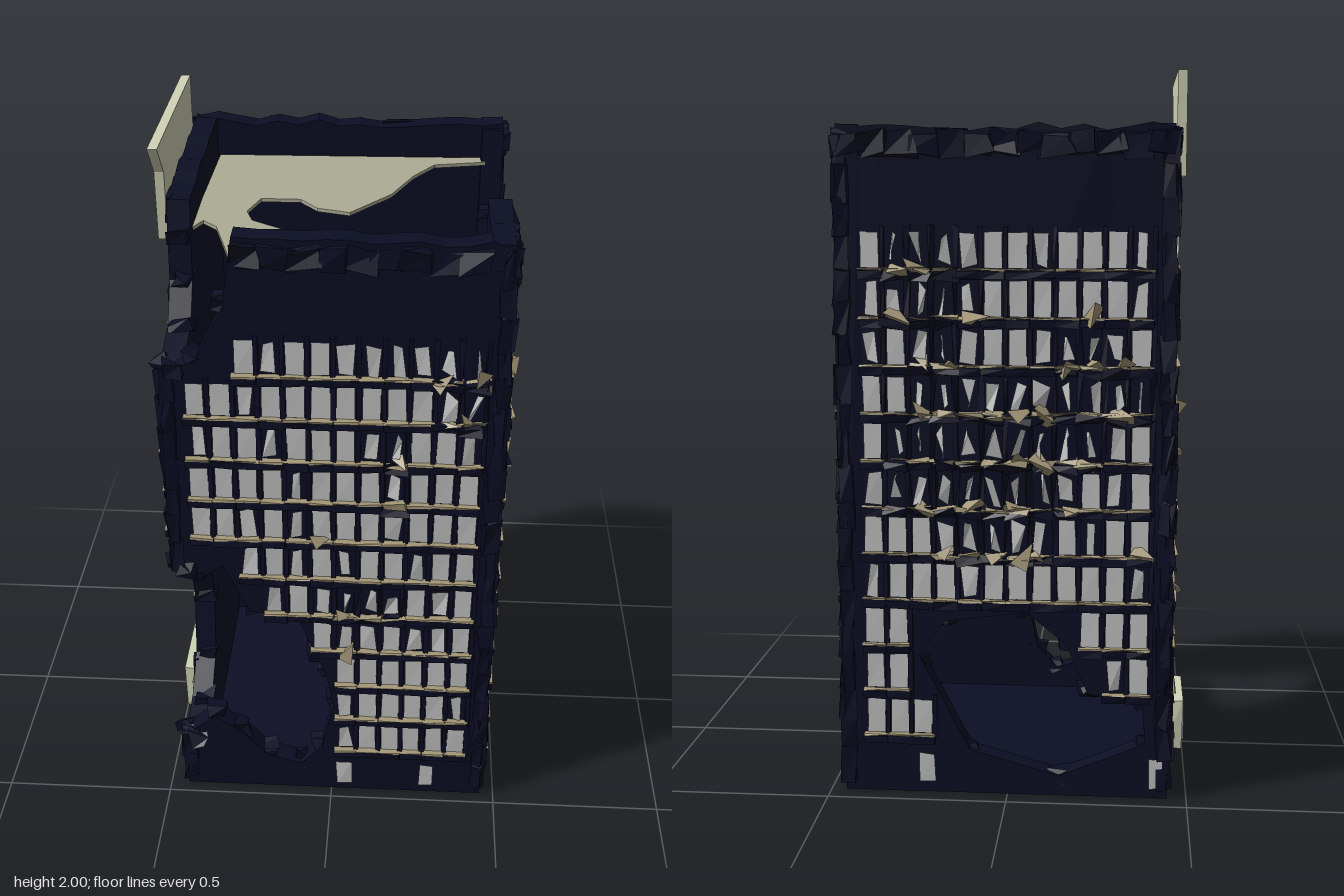
import * as THREE from 'three';
import { mergeGeometries } from 'three/addons/utils/BufferGeometryUtils.js';

const HALF = 0.452, BASE = 0.01, TOP = 1.85;
const CX = 0.006, CZ = 0.01;

let seed = 7;
const rnd = () => (seed = (seed * 16807) % 2147483647) / 2147483647;
const jit = a => (rnd() - 0.5) * 2 * a;

const mat = color => new THREE.MeshStandardMaterial({ color, flatShading: true, side: THREE.DoubleSide });
const dark = mat(0x0c0e25), glass = mat(0xcccccc), tan = mat(0xa59878);
const roofMat = mat(0xacac96), signMat = mat(0xd2d5b8), blue = mat(0x8fb0b8);

const shapeOf = pts => new THREE.Shape(pts.map(p => new THREE.Vector2(p[0], p[1])));
const plain = g => {
  const n = g.index ? g.toNonIndexed() : g;
  n.deleteAttribute('uv');
  n.computeVertexNormals();
  return n;
};
const slab = (pts, depth) => plain(new THREE.ExtrudeGeometry(shapeOf(pts), { depth, bevelEnabled: false }));

function addMesh(group, name, geos, material) {
  if (!geos.length) return;
  const mesh = new THREE.Mesh(mergeGeometries(geos), material);
  mesh.name = name;
  group.add(mesh);
}

// Box whose eight corners are knocked about
function roughBox(w, h, d, x, y, z, a = 0) {
  const g = new THREE.BoxGeometry(w, h, d);
  const off = Array.from({ length: 8 }, () => [jit(a), jit(a), jit(a)]);
  const p = g.attributes.position;
  for (let i = 0; i < p.count; i++) {
    const o = off[(p.getX(i) > 0 ? 1 : 0) + (p.getY(i) > 0 ? 2 : 0) + (p.getZ(i) > 0 ? 4 : 0)];
    p.setXYZ(i, p.getX(i) + x + o[0], p.getY(i) + y + o[1], p.getZ(i) + z + o[2]);
  }
  return plain(g);
}

// Window pane as a quad with loose corners
function pane(w, h, x, y, z, a) {
  const c = [[-1, -1], [1, -1], [1, 1], [-1, 1]].map(([i, j]) =>
    [x + i * w / 2 - i * rnd() * a, y + j * h / 2 - j * rnd() * a * 0.8, z + rnd() * a * 0.5]);
  const g = new THREE.BufferGeometry();
  g.setAttribute('position', new THREE.Float32BufferAttribute([0, 1, 2, 0, 2, 3].flatMap(i => c[i]), 3));
  g.computeVertexNormals();
  return g;
}

// Broken tetrahedral chip
function shard(size, x, y, z) {
  const g = new THREE.TetrahedronGeometry(size);
  g.scale(1.3, 0.6, 0.7).rotateZ(jit(1.2)).rotateY(jit(1)).translate(x, y, z);
  return plain(g);
}

// Ragged parapet line running from u0 to u1
function ragged(u0, u1) {
  const n = Math.max(2, Math.round(Math.abs(u1 - u0) / 0.06));
  return Array.from({ length: n + 1 }, (_, i) => [u0 + (u1 - u0) * i / n, TOP + jit(0.012)]);
}

function inside(pts, x, y) {
  let hit = false;
  for (let i = 0, j = pts.length - 1; i < pts.length; j = i++) {
    const [xi, yi] = pts[i], [xj, yj] = pts[j];
    if ((yi > y) !== (yj > y) && x < (xj - xi) * (y - yi) / (yj - yi) + xi) hit = !hit;
  }
  return hit;
}

// One facade, built facing +z; the outline carries the damage
function facade({ name, angle, outline, hole, cols, start, step, width, doors, blasts }) {
  const group = new THREE.Group();
  group.name = name;
  const shape = shapeOf(outline);
  if (hole) shape.holes.push(new THREE.Path(hole.map(p => new THREE.Vector2(...p))));
  const wall = new THREE.ExtrudeGeometry(shape, { depth: 0.062, bevelEnabled: false });
  wall.translate(0, 0, HALF - 0.062);
  const solid = (x, y) => inside(outline, x, y) && !(hole && inside(hole, x, y));
  const fits = (x, y, w, h) => [-1, 0, 1].every(i => [-1, 0, 1].every(j => solid(x + i * w / 2, y + j * h / 2)));
  const frames = [plain(wall)], panes = [], sills = [], chips = [];

  for (let r = 0; r < 11; r++) {
    const y = 0.225 + r * 0.13;
    for (let c = 0; c < cols; c++) {
      const x = start + c * step;
      if (!fits(x, y, width * 0.9, 0.12)) continue;
      const hit = blasts.some(([bx, by, br]) => Math.hypot(x - bx, y - by) < br);
      const a = hit ? 0.035 : rnd() < 0.3 ? 0.018 : 0.004;
      panes.push(pane(width, 0.1, x, y, HALF + 0.003, a));
      // floor band with a pale sill on top
      const s = hit ? 0.012 : 0.003, out = HALF + 0.004;
      frames.push(roughBox(step, 0.022, 0.026, x, y - 0.066, out, s));
      sills.push(roughBox(step, 0.005, 0.032, x, y - 0.052, out, s * 0.9));
      frames.push(roughBox(step - width, 0.125, 0.018, x + step / 2, y, HALF, s * 0.6));
      if (hit && rnd() < 0.45 || rnd() < 0.03)
        chips.push(shard(0.03 + rnd() * 0.02, x + jit(0.02), y - 0.05 + jit(0.01), HALF + 0.013));
    }
  }
  for (const [x, w] of doors) panes.push(pane(w, 0.09, x, 0.075, HALF + 0.004, 0.008));

  // chipped corner edges and parapet lumps
  for (let y = 0.08; y < 1.82; y += 0.09)
    for (const s of [-1, 1])
      if (solid(s * (HALF - 0.02), y)) frames.push(roughBox(0.035, 0.1, 0.02, s * (HALF - 0.013), y, HALF, 0.009));
  for (let x = -0.42; x < 0.44; x += 0.07)
    if (solid(x, 1.81)) frames.push(roughBox(0.08, 0.06, 0.025, x, 1.805, HALF - 0.002, 0.014));
  // bent scraps along the break
  for (const [x, y] of [...outline, ...(hole || [])])
    if (y > 0.05 && y < 1.78) frames.push(roughBox(0.045, 0.035, 0.05, x, y, HALF - 0.035, 0.014));

  addMesh(group, 'wallAndFrames', frames, dark);
  addMesh(group, 'windowPanes', panes, glass);
  addMesh(group, 'sills', sills, tan);
  addMesh(group, 'brokenChips', chips, tan);
  group.rotation.y = angle;
  return group;
}

export function createModel() {
  const model = new THREE.Group();
  model.name = 'ruinedTower';
  const tower = new THREE.Group();
  tower.name = 'tower';
  tower.position.set(CX, 0, CZ);
  model.add(tower);

  const H = HALF, foot = [[-H, BASE], [H, BASE]];
  const wide = { cols: 12, start: -0.363, step: 0.0665, width: 0.053 };
  const narrow = { cols: 7, start: -0.369, step: 0.123, width: 0.088 };

  tower.add(facade({
    name: 'frontFacade', angle: 0, ...wide,
    outline: [...foot, ...ragged(H, -0.25), [-0.28, 1.66], [-0.36, 1.5], [-H, 1.48], [-H, 0.84],
      [-0.38, 0.8], [-0.31, 0.85], [-0.24, 0.69], [-0.1, 0.67], [-0.05, 0.53], [-0.02, 0.46], [0, 0.34],
      [-0.035, 0.17], [-0.1, 0.1], [-0.2, 0.13], [-0.28, 0.22], [-0.36, 0.28], [-H, 0.2]],
    doors: [[0.035, 0.06], [0.285, 0.05]], blasts: [[0.38, 1.45, 0.12], [0.15, 1.2, 0.08], [0.1, 0.75, 0.1]],
  }));
  tower.add(facade({
    name: 'leftFacade', angle: Math.PI / 2, ...narrow,
    outline: [...foot, ...ragged(H, 0.36), [0.35, 1.6], [0.33, 1.4], [0.29, 1.32], [0.15, 1.25], [0, 1.2],
      [-0.11, 1.2], [-0.24, 1.26], [-0.26, 1.4], [-0.3, 1.53], [-0.27, 1.67], [-0.26, 1.74], [-0.2, 1.74],
      ...ragged(-0.18, -H)],
    doors: [[-0.15, 0.1], [0.1, 0.09]], blasts: [[-0.08, 0.75, 0.16], [-0.36, 1.4, 0.14], [-0.25, 1.17, 0.1]],
  }));
  tower.add(facade({
    name: 'backFacade', angle: Math.PI, ...wide,
    outline: [...foot, ...ragged(H, -H)],
    hole: [[-0.24, 0.4], [-0.17, 0.5], [0.06, 0.53], [0.17, 0.44], [0.23, 0.3], [0.38, 0.28],
      [0.39, 0.16], [0.15, 0.06], [-0.1, 0.13]],
    doors: [[-0.22, 0.05], [0.42, 0.04]], blasts: [[-0.05, 0.95, 0.26], [-0.2, 1.4, 0.16], [0.25, 1.15, 0.15]],
  }));
  tower.add(facade({
    name: 'rightFacade', angle: -Math.PI / 2, ...narrow,
    outline: [...foot, [H, 0.2], [0.3, 0.22], [0.18, 0.3], [0.14, 0.5], [0.2, 0.7], [0.32, 0.82], [H, 0.84],
      [H, 1.48], [0.28, 1.52], [0.21, 1.62], [0.2, 1.74], ...ragged(0.18, -H)],
    doors: [[-0.3, 0.08]], blasts: [[-0.25, 1.1, 0.13], [0.1, 0.85, 0.14]],
  }));

  // Ground slab
  addMesh(tower, 'groundSlab', [roughBox(H * 2, 0.03, H * 2, 0, 0.018, 0)], dark);

  // Roof deck with a torn opening running out to the left side
  const roof = slab([[-0.375, -0.36], [0.41, -0.375], [0.41, -0.34], [0.26, -0.31], [0.2, -0.22], [0.14, -0.08],
    [0.03, 0.055], [-0.06, 0.03], [-0.11, -0.03], [-0.22, -0.03], [-0.25, 0.06], [-0.23, 0.12], [-0.12, 0.19],
    [0, 0.21], [0.03, 0.25], [0.1, 0.25], [0.14, 0.27], [0.25, 0.28], [0.3, 0.31], [0.34, 0.3], [0.37, 0.24],
    [0.39, 0.24], [0.4, 0.4], [-0.25, 0.41], [-0.32, 0.17], [-0.36, 0.13], [-0.39, 0.19]], 0.01);
  roof.rotateX(Math.PI / 2).translate(0, 1.755, 0);
  addMesh(model, 'roofDeck', [roof], roofMat);

  // Rooftop signboard on the right side, one lower corner torn off
  const board = slab([[-0.34, 1.72], [0.18, 1.72], [0.18, 1.91], [0.255, 2], [-0.34, 2]], 0.026);
  board.rotateY(-Math.PI / 2).translate(-0.45, 0, 0);
  addMesh(model, 'signboard', [board], signMat);

  // Entrance box at the foot of the right side
  addMesh(model, 'entranceBox', [roughBox(0.055, 0.15, 0.23, -0.47, 0.095, 0.01, 0.004)], signMat);
  addMesh(model, 'entranceGlass', [roughBox(0.006, 0.1, 0.18, -0.5, 0.09, 0.01)], blue);
  return model;
}
